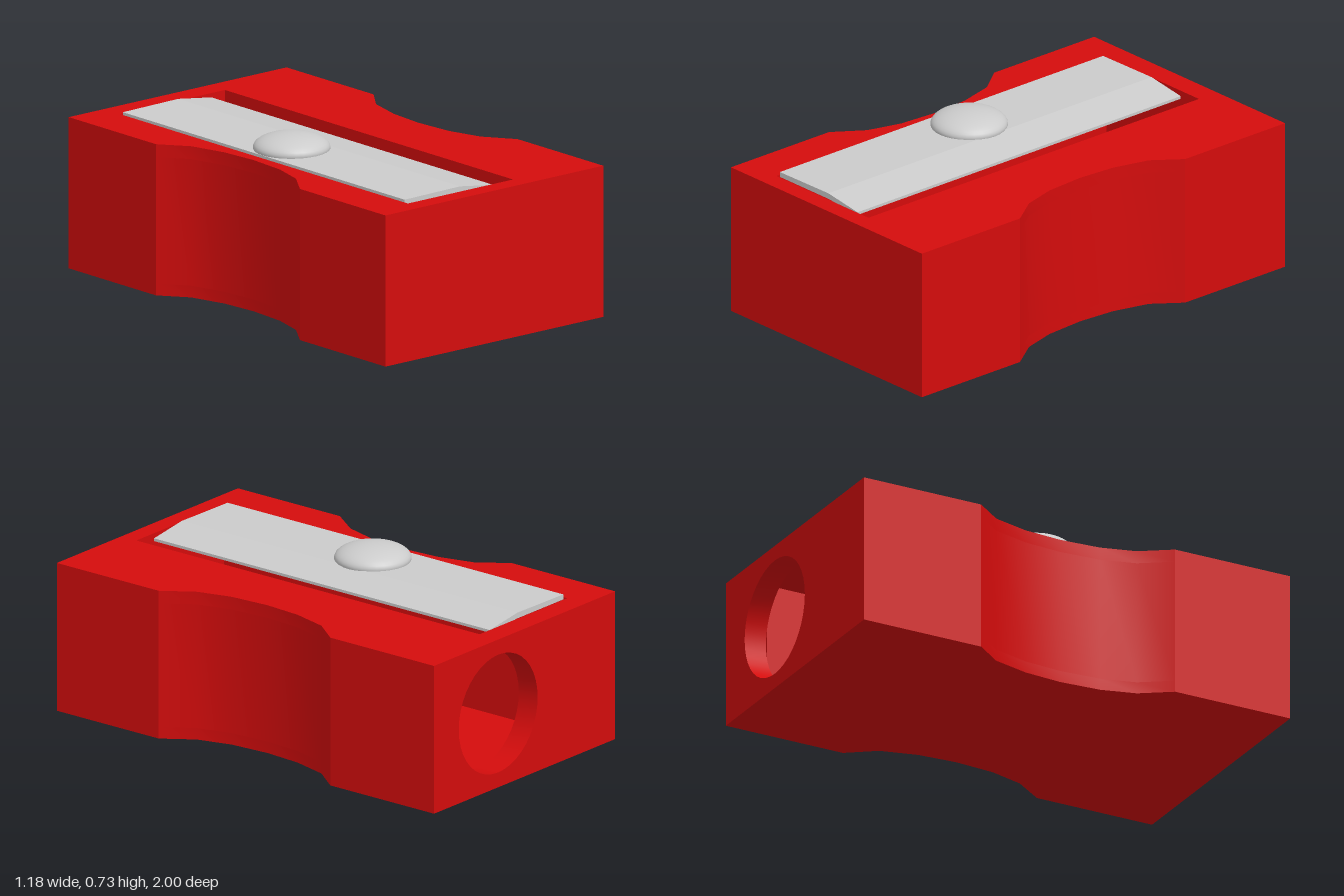
import * as THREE from 'three';
import { toCreasedNormals } from 'three/addons/utils/BufferGeometryUtils.js';

const W = 0.59, H = 0.645, BACK = -0.9, FRONT = 0.92, LEFT = -0.4;
const FLOOR = 0.05, ROOF = 0.59;

// Finger grip on one side, listed from back to front as [x, z]
const GRIP = [[W, -0.45], [0.5, -0.33], [0.458, -0.17], [0.445, 0], [0.458, 0.18], [0.5, 0.33], [W, 0.46]];

export function createModel() {
  const model = new THREE.Group();
  const red = new THREE.MeshStandardMaterial({ color: 0xd40c0c });
  const grey = new THREE.MeshStandardMaterial({ color: 0xcccccc });

  const add = (parent, name, geometry, material) => {
    const mesh = new THREE.Mesh(geometry, material);
    mesh.name = name;
    parent.add(mesh);
    return mesh;
  };
  const extrude = (shape, depth) =>
    new THREE.ExtrudeGeometry(shape, { depth, bevelEnabled: false, curveSegments: 20 });

  // Horizontal slice of the waisted body; cavityX is the right edge of its opening
  const slice = (y0, y1, cavityX) => {
    const outline = [
      [W, BACK], ...GRIP, [W, 1], [-W, 1],
      ...GRIP.map(([x, z]) => [-x, z]).reverse(), [-W, BACK],
    ];
    if (cavityX !== undefined) {
      outline.push([LEFT, BACK], [LEFT, FRONT], [cavityX, FRONT], [cavityX, BACK]);
    }
    const shape = new THREE.Shape(outline.map(([x, z]) => new THREE.Vector2(x, -z)));
    const geometry = extrude(shape, y1 - y0).rotateX(-Math.PI / 2).translate(0, y0, 0);
    return toCreasedNormals(geometry, 0.5);
  };

  const body = new THREE.Group();
  body.name = 'body';
  model.add(body);
  add(body, 'floor', slice(0, FLOOR), red);
  add(body, 'walls', slice(FLOOR, ROOF, 0.42), red);
  add(body, 'top', slice(ROOF, H, 0.17), red);

  // Back wall with the round pencil hole
  const wall = new THREE.Shape();
  wall.moveTo(-W, 0).lineTo(W, 0).lineTo(W, H).lineTo(-W, H).closePath();
  const hole = new THREE.Path();
  hole.absarc(0.172, 0.322, 0.257, 0, Math.PI * 2, true);
  wall.holes.push(hole);
  add(body, 'backWall', toCreasedNormals(extrude(wall, BACK + 1).translate(0, 0, -1), 0.5), red);

  // Blade: flat plate whose cutting side slopes down
  const section = new THREE.Shape([
    [LEFT, 0.635], [-0.1, 0.635], [0.08, 0.622], [0.08, 0.634], [-0.1, 0.66], [LEFT, 0.657],
  ].map(([x, y]) => new THREE.Vector2(x, y)));
  add(model, 'blade', extrude(section, 1.78).translate(0, 0, -0.88), grey);

  // Domed screw head holding the blade
  const head = new THREE.SphereGeometry(0.16, 32, 12, 0, Math.PI * 2, 0, Math.PI * 0.56);
  head.scale(1, 0.38, 1);
  add(model, 'screwHead', head, grey).position.set(-0.24, 0.665, 0);

  return model;
}
